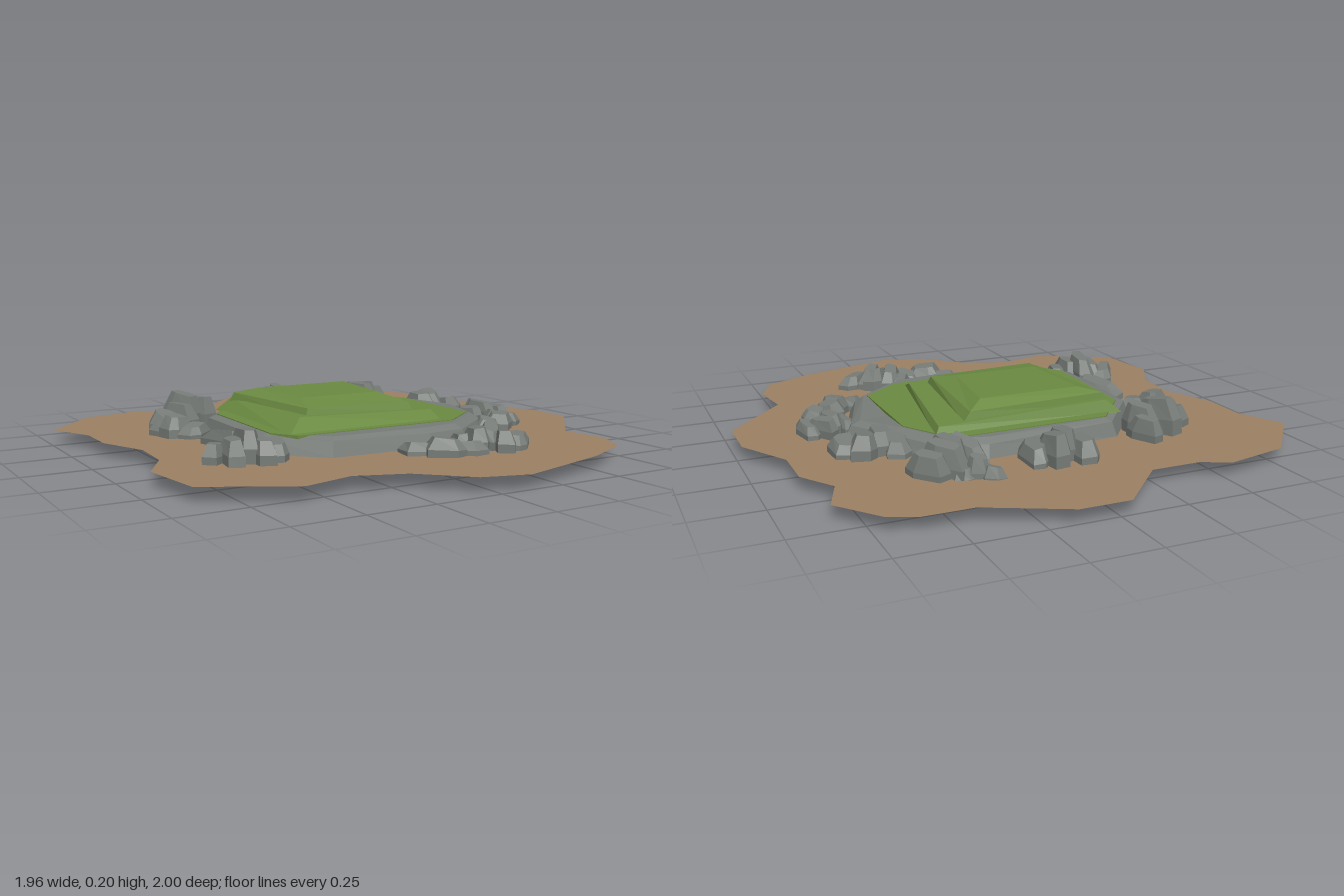
import * as THREE from 'three';

const mat = (color, extra = {}) =>
  new THREE.MeshStandardMaterial({ color, flatShading: true, ...extra });
const rockMat = mat(0x777c78);
const grassMat = mat(0x6b8a42);
const soilMat = mat(0x9c8062, { side: THREE.DoubleSide });

// Small seeded random generator
let seed = 7;
const rand = (a, b) => {
  seed = (seed * 16807) % 2147483647;
  return a + (b - a) * (seed / 2147483647);
};

// Skin a stack of rings (bottom to top, clockwise seen from above) and cap both ends
function loft(rings) {
  const pos = [];
  const tri = (...pts) => pts.forEach((p) => pos.push(...p));
  const centre = (r) => [0, 1, 2].map((k) => r.reduce((s, p) => s + p[k], 0) / r.length);
  const n = rings[0].length, last = rings.length - 1;
  const c0 = centre(rings[0]), c1 = centre(rings[last]);
  for (let i = 0; i < n; i++) {
    const j = (i + 1) % n;
    for (let k = 0; k < last; k++) {
      const a = rings[k], b = rings[k + 1];
      tri(a[i], b[j], a[j]);
      tri(a[i], b[i], b[j]);
    }
    tri(c0, rings[0][i], rings[0][j]);
    tri(c1, rings[last][j], rings[last][i]);
  }
  const g = new THREE.BufferGeometry();
  g.setAttribute('position', new THREE.Float32BufferAttribute(pos, 3));
  g.computeVertexNormals();
  return g;
}

// Ring from [x, z] points, scaled about the origin; height is a rule of x and z
const ring = (pts, scale, height) =>
  pts.map(([x, z]) => [x * scale, height(x, z), z * scale]);

// Four corners: back edge x0..x1 at z0, front edge x2..x3 at z1
const quad = (x0, x1, z0, x2, x3, z1) => [[x0, z0], [x1, z0], [x3, z1], [x2, z1]];

function add(parent, name, geometry, material) {
  const m = new THREE.Mesh(geometry, material);
  m.name = name;
  parent.add(m);
  return m;
}

// One chiselled boulder: a skewed, tapering six-sided block with a tilted top
function boulder(w, d, top, bottom) {
  const hex = [[-0.5, -0.3], [-0.2, -0.5], [0.4, -0.48], [0.5, 0.2], [0.28, 0.5], [-0.42, 0.46]]
    .map(([u, v]) => [u + rand(-0.06, 0.06), v + rand(-0.06, 0.06)]);
  const skewX = rand(-0.08, 0.08), skewZ = rand(-0.08, 0.08);
  const tiltX = rand(-0.25, 0.25), tiltZ = rand(-0.25, 0.25);
  const level = (scale, h, lean) => hex.map(([u, v]) => {
    const x = (u * scale + skewX * lean) * w, z = (v * scale + skewZ * lean) * d;
    return [x, bottom + (top - bottom) * h + lean * (tiltX * x + tiltZ * z), z];
  });
  return loft([level(1.02, 0, 0), level(1, 0.55, 0.3), level(0.62, 1, 1)]);
}

// A ridge of overlapping boulders, tallest in the middle
function rockCluster(name, x, z, length, width, turn, top, bottom, count) {
  const group = new THREE.Group();
  group.name = name;
  group.position.set(x, 0, z);
  group.rotation.y = -turn;
  const w = count > 1 ? (length / count) * 1.4 : length;
  for (let i = 0; i < count; i++) {
    const t = count > 1 ? (2 * i) / (count - 1) - 1 : 0;
    const d = width * rand(0.75, 0.95);
    const h = (top - bottom) * (1 - 0.3 * Math.abs(t) - rand(0, 0.12));
    const rock = add(group, 'boulder', boulder(w, d, bottom + h, bottom), rockMat);
    rock.position.set((t * (length - w)) / 2, 0, (i % 2 ? 0.1 : -0.1) * width);
    rock.rotation.y = rand(-0.25, 0.25);
  }
  return group;
}

export function createModel() {
  const model = new THREE.Group();
  model.name = 'rockyMound';

  // Thin patch of bare soil with a ragged outline
  const outline = [
    [-0.98, -0.56], [-0.78, -0.79], [-0.53, -0.845], [-0.43, -0.795], [-0.24, -0.795], [-0.04, -1],
    [0.15, -1], [0.43, -0.86], [0.61, -0.86], [0.71, -0.82], [0.835, -0.66], [0.78, -0.51],
    [0.865, -0.38], [0.865, -0.2], [0.98, 0], [0.98, 0.2], [0.745, 0.47], [0.77, 0.65], [0.71, 0.785],
    [0.5, 0.89], [0.12, 1], [-0.05, 0.95], [-0.21, 0.795], [-0.39, 0.73], [-0.58, 0.78],
    [-0.88, 0.615], [-0.915, 0.35], [-0.825, 0.19], [-0.815, 0], [-0.895, -0.2], [-0.895, -0.38],
  ];
  const soil = new THREE.ShapeGeometry(new THREE.Shape(outline.map(([x, z]) => new THREE.Vector2(x, -z))));
  soil.rotateX(-Math.PI / 2).translate(0, 0.05, 0);
  add(model, 'soilPatch', soil, soilMat);

  // Stone plinth with a tilted underside and a bevelled rim
  const foot = [[-0.49, -0.22], [-0.31, -0.44], [0.22, -0.475], [0.38, -0.43], [0.5, -0.22],
    [0.61, -0.04], [0.5, 0.27], [0.28, 0.45], [0.11, 0.475], [-0.3, 0.46], [-0.5, 0.27]];
  add(model, 'stonePlinth', loft([
    ring(foot, 0.97, (x, z) => 0.022 + 0.03 * z),
    ring(foot, 1, () => 0.05),
    ring(foot, 0.96, (x) => 0.1 - 0.015 * x),
    ring(foot, 0.9, (x) => (x > 0.55 ? 0.106 : 0.115)),
  ]), rockMat);

  // Turf spread over the plinth top
  const turf = [[-0.43, -0.22], [-0.29, -0.39], [0.32, -0.395], [0.44, -0.2],
    [0.44, 0.23], [0.28, 0.355], [-0.38, 0.355], [-0.44, 0.26]];
  add(model, 'turf', loft([ring(turf, 1, () => 0.1), ring(turf, 1, () => 0.118)]), grassMat);

  // Stepped grass mound
  add(model, 'lowerGrassTier', loft([
    ring(quad(-0.38, 0.37, -0.35, -0.4, 0.25, 0.33), 1, () => 0.112),
    ring(quad(-0.32, 0.35, -0.33, -0.31, 0.26, 0.24), 1, (x) => 0.152 - 0.03 * x),
  ]), grassMat);
  add(model, 'upperGrassTier', loft([
    ring(quad(-0.34, 0.25, -0.315, -0.28, 0.19, 0.22), 1, () => 0.14),
    ring(quad(-0.32, 0.22, -0.305, -0.26, 0.18, 0.205), 1, (x) => 0.178 - 0.02 * x),
    ring(quad(-0.24, 0.16, -0.255, -0.22, 0.12, 0.08), 1, () => 0.203),
  ]), grassMat);

  // Boulder clusters round the plinth: x, z, length, width, turn, top, bottom, count
  model.add(
    rockCluster('backRightRocks', -0.48, -0.42, 0.31, 0.18, -0.55, 0.19, 0.015, 5),
    rockCluster('rightBackRocks', -0.6, -0.2, 0.21, 0.13, 1, 0.14, 0.03, 3),
    rockCluster('rightRock', -0.53, 0.08, 0.24, 0.1, 1.5, 0.11, 0.03, 1),
    rockCluster('rightFrontRocks', -0.57, 0.34, 0.28, 0.23, 0.35, 0.155, 0.03, 5),
    rockCluster('frontRightRocks', 0.07, 0.59, 0.31, 0.13, 0.5, 0.12, 0.03, 3),
    rockCluster('frontLeftRocks', 0.28, 0.58, 0.28, 0.21, 0.6, 0.145, 0.03, 5),
    rockCluster('leftFrontRocks', 0.57, 0.26, 0.28, 0.13, -0.6, 0.13, 0.03, 4),
    rockCluster('leftRocks', 0.66, 0.04, 0.2, 0.17, -0.3, 0.135, 0.035, 4),
    rockCluster('leftBackRocks', 0.57, -0.24, 0.29, 0.19, 0.15, 0.15, 0.03, 4),
    rockCluster('backLeftRocks', 0.39, -0.51, 0.26, 0.2, -0.6, 0.19, 0, 4),
    rockCluster('backLeftPebbles', 0.32, -0.62, 0.19, 0.07, 0.35, 0.13, 0.01, 3),
    rockCluster('backRocks', 0, -0.56, 0.25, 0.2, -0.1, 0.17, 0.015, 4),
  );
  return model;
}
